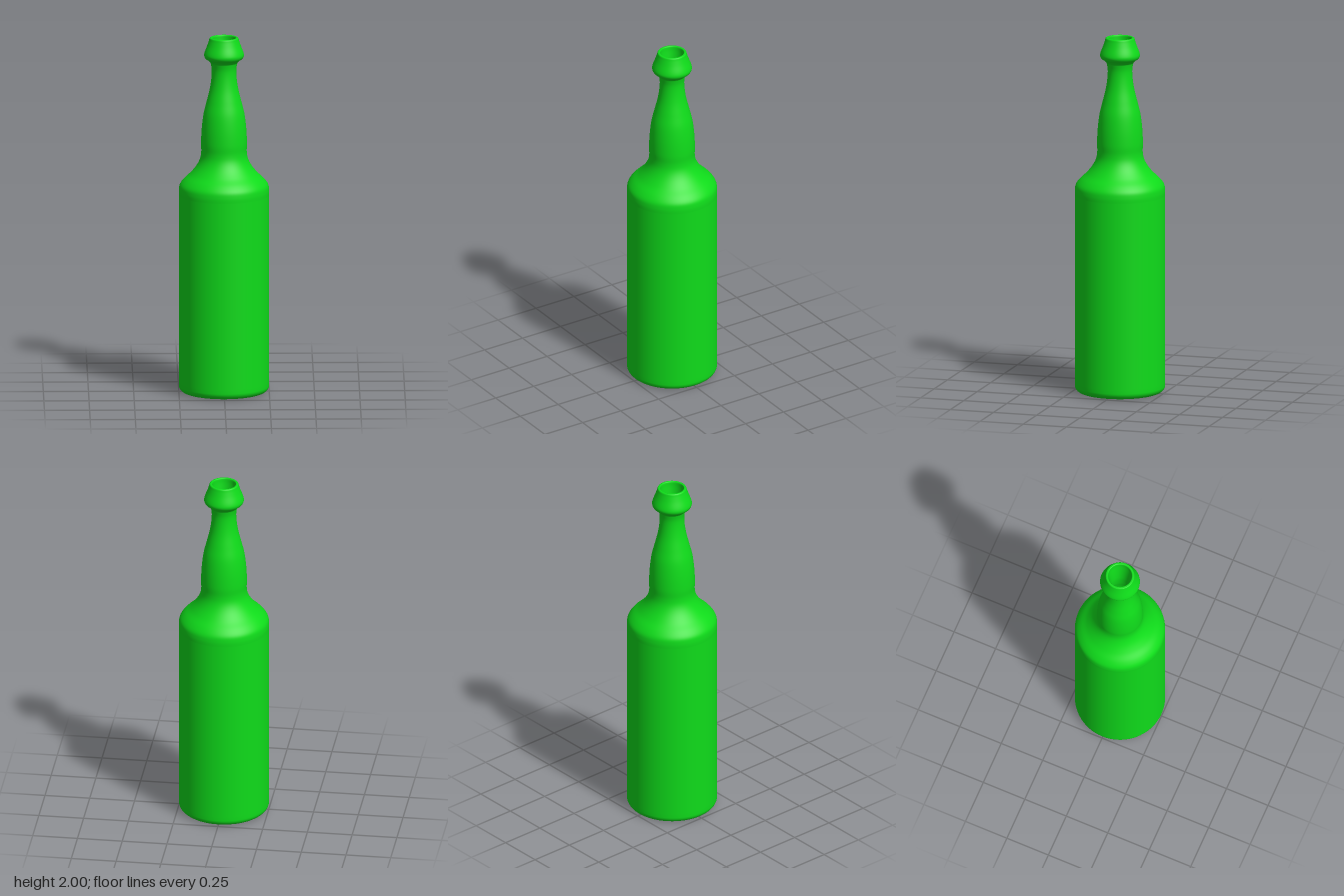
import * as THREE from 'three';

const SEGMENTS = 72;
const v = (x, y) => new THREE.Vector2(x, y);

export function createModel() {
  const group = new THREE.Group();
  group.name = 'bottle';
  const glass = new THREE.MeshStandardMaterial({ color: 0x0fdc1a });

  const lathe = (name, points) => {
    const mesh = new THREE.Mesh(new THREE.LatheGeometry(points, SEGMENTS), glass);
    mesh.name = name;
    group.add(mesh);
  };
  const smooth = (points, n) => new THREE.SplineCurve(points).getPoints(n);

  // Flat base with a rounded heel
  const base = [v(0, 0), v(0.2, 0), v(0.215, 0)];
  for (let i = 1; i <= 6; i++) {
    const a = (i / 6) * Math.PI / 2;
    base.push(v(0.215 + 0.035 * Math.sin(a), 0.035 - 0.035 * Math.cos(a)));
  }
  base.push(v(0.25, 0.06));

  // Shoulder, swollen neck and throat
  const neck = smooth([
    v(0.25, 1.11), v(0.25, 1.14), v(0.244, 1.17), v(0.222, 1.2), v(0.185, 1.235),
    v(0.153, 1.275), v(0.133, 1.315), v(0.126, 1.355), v(0.127, 1.41), v(0.123, 1.49),
    v(0.113, 1.57), v(0.096, 1.64), v(0.079, 1.71), v(0.07, 1.77), v(0.068, 1.82),
    v(0.074, 1.857),
  ], 80);

  // Flared lip tapering up to the mouth
  const lip = smooth([
    v(0.074, 1.857), v(0.087, 1.872), v(0.102, 1.882), v(0.11, 1.898), v(0.107, 1.918),
    v(0.093, 1.955), v(0.084, 1.982), v(0.08, 1.996), v(0.076, 2),
  ], 36);
  lathe('outerGlass', [...base, ...neck, ...lip.slice(1), v(0.069, 2)]);

  // Hollow interior, from the rim down to the floor
  const bore = smooth([
    v(0.069, 2), v(0.065, 1.995), v(0.063, 1.97), v(0.056, 1.92), v(0.05, 1.86),
    v(0.049, 1.8), v(0.06, 1.71), v(0.077, 1.64), v(0.094, 1.57), v(0.105, 1.48),
    v(0.108, 1.38), v(0.115, 1.315), v(0.136, 1.265), v(0.2, 1.195), v(0.228, 1.16),
    v(0.232, 1.12),
  ], 60);
  lathe('innerGlass', [...bore, v(0.232, 0.06), v(0.222, 0.035), v(0.2, 0.025), v(0.18, 0.025), v(0, 0.025)]);

  return group;
}
